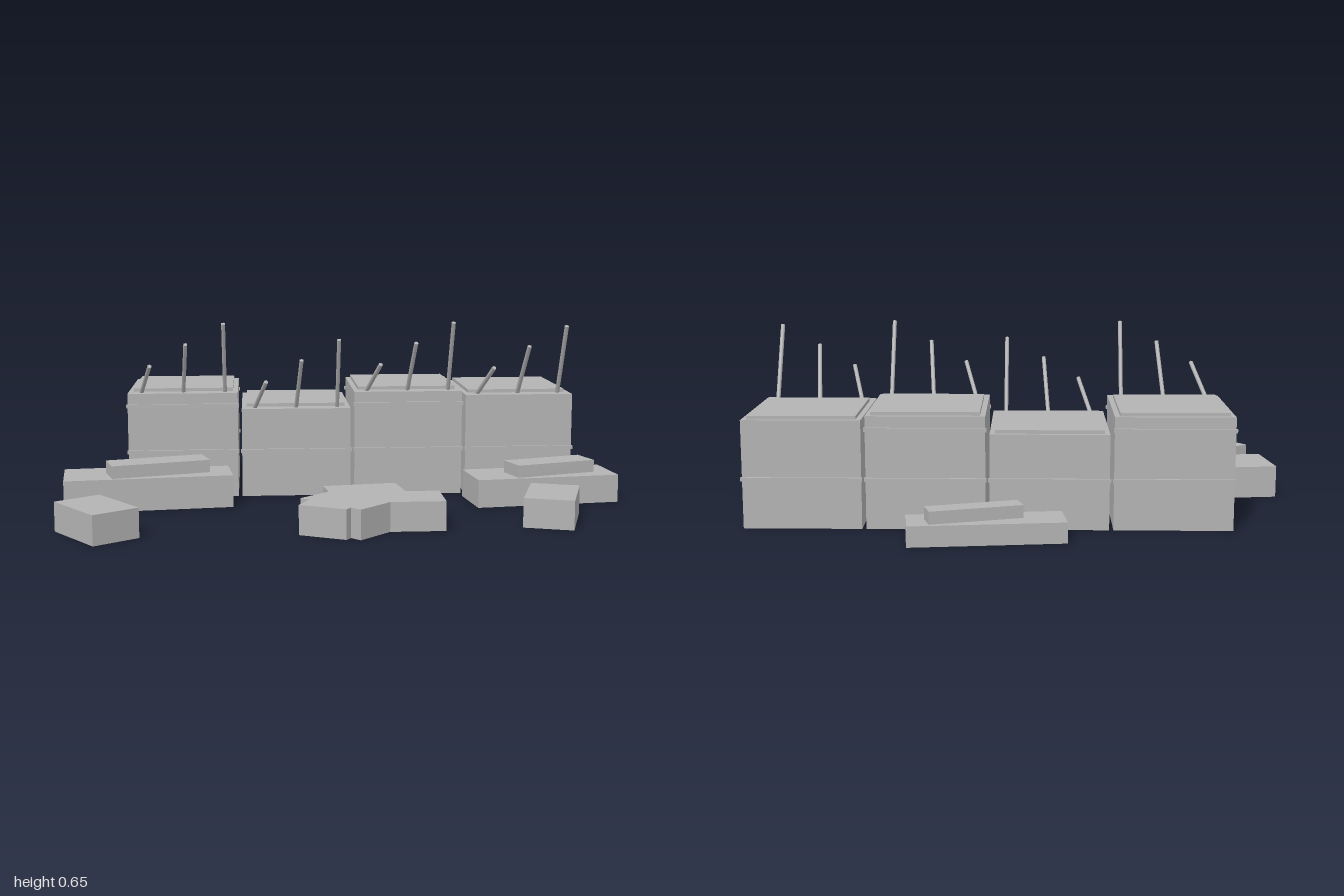
import * as THREE from 'three';

const concrete = new THREE.MeshStandardMaterial({ color: 0xb3b3b3 });
concrete.name = 'concrete grey';

function mesh(name, geometry, parent) {
  const m = new THREE.Mesh(geometry, concrete);
  m.name = name;
  parent.add(m);
  return m;
}

// Box resting at height y, turned about the vertical axis by deg
function block(name, parent, [w, h, d], [x, y, z], deg = 0) {
  const m = mesh(name, new THREE.BoxGeometry(w, h, d), parent);
  m.position.set(x, y + h / 2, z);
  m.rotation.y = THREE.MathUtils.degToRad(deg);
  return m;
}

// Straight reinforcing bar between two points
function bar(name, parent, from, to) {
  const a = new THREE.Vector3(...from), b = new THREE.Vector3(...to);
  const dir = b.clone().sub(a);
  const m = mesh(name, new THREE.CylinderGeometry(0.008, 0.008, dir.length(), 6), parent);
  m.position.copy(a).add(b).multiplyScalar(0.5);
  m.quaternion.setFromUnitVectors(new THREE.Vector3(0, 1, 0), dir.normalize());
}

export function createModel() {
  const model = new THREE.Group();
  model.name = 'ruinedWall';

  // Wall segments: body, top cap, course lines front and back, bent bars
  const heights = [0.385, 0.325, 0.385, 0.37];
  heights.forEach((h, i) => {
    const seg = new THREE.Group();
    seg.name = 'wallSegment' + (i + 1);
    seg.position.x = -0.569 + i * 0.414;
    model.add(seg);
    block('wallBody', seg, [0.4, h, 0.45], [0, 0, -0.245]);
    block('topCap', seg, [0.364, 0.012, 0.374], [0, h, -0.267]);
    for (const y of [0.17, 0.34]) {
      if (y > h - 0.04) continue;
      for (const z of [-0.016, -0.474])
        block('courseLine', seg, [0.408, 0.013, 0.01], [0, y - 0.0065, z]);
    }
    // Bars lean forward and stand taller towards the left
    [[-0.155, -0.111, 0.11], [0, 0.017, 0.187], [0.153, 0.152, 0.26]].forEach(([x0, x1, rise]) =>
      bar('bentBar', seg, [x0, h - 0.008, -0.066], [x1, h + rise, 0.063]));
  });

  // Fallen slabs, each with a smaller piece on top
  const slabs = [
    [[0.59, 0.115, 0.222], [-0.692, 0, 0.083], 6.8, [0.352, 0.045, 0.118], [-0.655, 0.115, 0.09], 16.5],
    [[0.525, 0.1, 0.2], [0.728, 0, 0.103], 7, [0.31, 0.044, 0.11], [0.762, 0.1, 0.103], 17],
    [[0.52, 0.07, 0.148], [0.054, 0, -0.588], 6.6, [0.316, 0.043, 0.073], [0.092, 0.07, -0.588], 17],
  ];
  for (const [s1, p1, a1, s2, p2, a2] of slabs) {
    block('fallenSlab', model, s1, p1, a1);
    block('slabPiece', model, s2, p2, a2);
  }

  // Loose blocks in front
  block('looseBlock', model, [0.168, 0.1, 0.252], [-0.824, 0, 0.531], 36);
  block('looseBlock', model, [0.168, 0.1, 0.252], [0.695, 0, 0.438], -18);

  // Heap of merged blocks in the middle, as one outline (x, z)
  const outline = [
    [-0.075, 0.295], [0.18, 0.256], [0.2, 0.395], [0.315, 0.395], [0.315, 0.56],
    [0.13, 0.56], [0.025, 0.663], [-0.005, 0.632], [-0.02, 0.655], [-0.17, 0.582],
    [-0.133, 0.508], [-0.16, 0.48], [-0.06, 0.385],
  ];
  const shape = new THREE.Shape(outline.map(([x, z]) => new THREE.Vector2(x, -z)));
  const heap = new THREE.ExtrudeGeometry(shape, { depth: 0.1, bevelEnabled: false });
  heap.rotateX(-Math.PI / 2);
  mesh('rubbleHeap', heap, model);

  return model;
}
